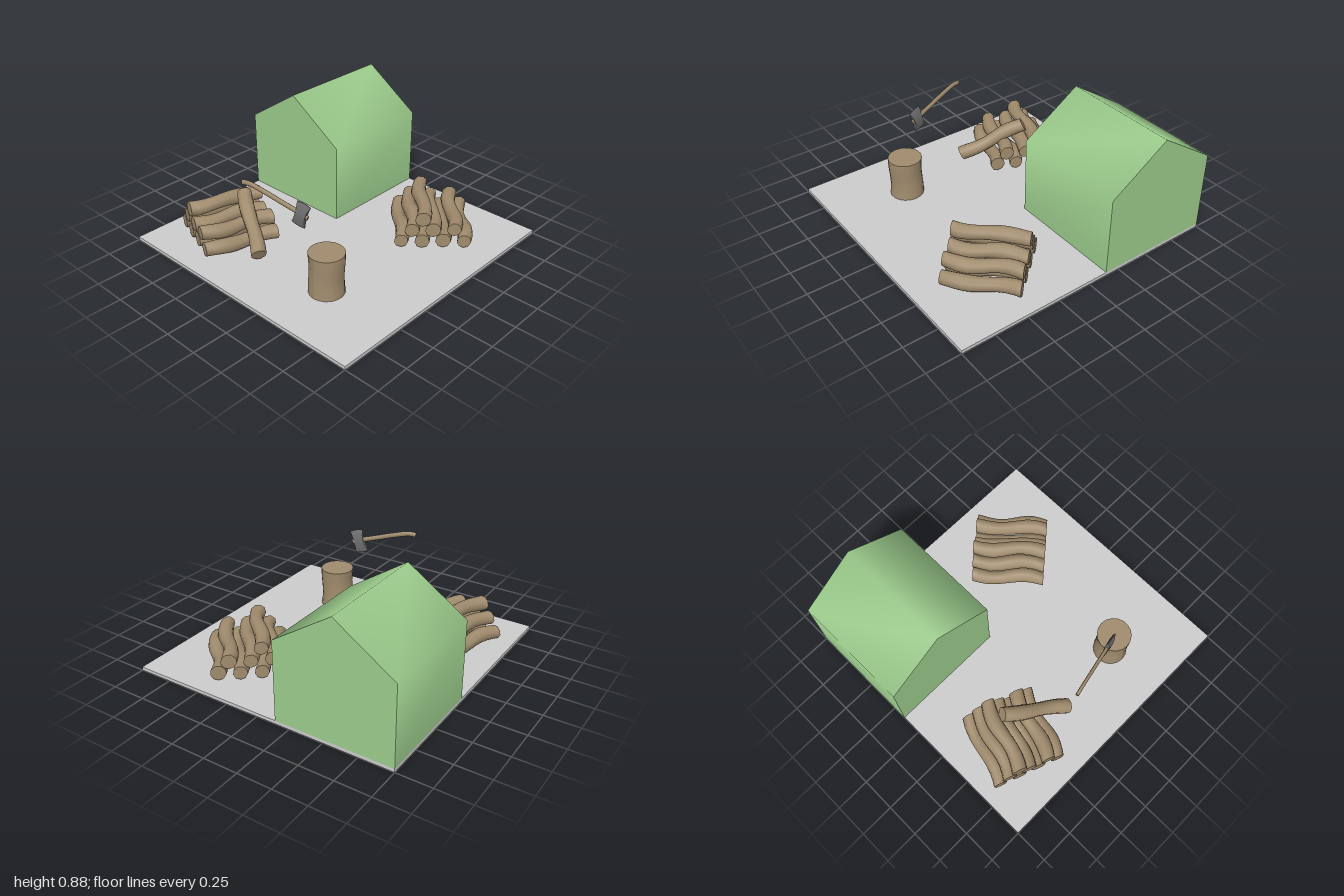
import * as THREE from 'three';

const mat = (name, color) => Object.assign(new THREE.MeshStandardMaterial({ color }), { name });
const M = {
  ground: mat('pale grey', 0xcccccc),
  house: mat('soft green', 0x9bcb8b),
  wood: mat('brown wood', 0xa08b6d),
  metal: mat('dark steel', 0x707072),
};

function add(parent, name, geometry, material, x = 0, y = 0, z = 0) {
  const mesh = new THREE.Mesh(geometry, material);
  mesh.name = name;
  mesh.position.set(x, y, z);
  parent.add(mesh);
  return mesh;
}

// Move every vertex of a geometry by a rule, then rebuild its normals
function reshape(geometry, rule) {
  const pos = geometry.attributes.position;
  const v = new THREE.Vector3();
  for (let i = 0; i < pos.count; i++) {
    rule(v.fromBufferAttribute(pos, i));
    pos.setXYZ(i, v.x, v.y, v.z);
  }
  geometry.computeVertexNormals();
  return geometry;
}

// Gently twisted log lying along z
const LOG = 0.53;
function logGeometry(seed, sway = 0.018) {
  const g = new THREE.CylinderGeometry(0.052, 0.052, LOG, 9, 10).rotateX(Math.PI / 2);
  return reshape(g, (v) => {
    const t = v.z / LOG;
    const swell = 1 + 0.06 * Math.sin(t * 9 + seed * 2);
    v.x = v.x * swell + sway * Math.sin(2 * Math.PI * t);
    v.y = v.y * swell + 0.007 * Math.sin(t * 8 + seed * 1.7);
  });
}

// Stack of four, three and one logs
function woodPile(name, x, z, turn) {
  const pile = new THREE.Group();
  pile.name = name;
  const step = 0.145;
  [4, 3, 1].forEach((count, row) => {
    for (let i = 0; i < count; i++) {
      const lx = (i - (3 - row) / 2) * step;
      add(pile, 'log', logGeometry(row * 4 + i), M.wood, lx, 0.087 + row * 0.088, 0);
    }
  });
  pile.position.set(x, 0, z);
  pile.rotation.y = turn;
  return pile;
}

// Gabled block with softly shaded walls and roof between flat gables
function house() {
  const group = new THREE.Group();
  group.name = 'house';
  const h = 0.4285;
  const profile = [[h, 0.025], [h, 0.6], [0, 0.885], [-h, 0.6], [-h, 0.025]];
  const points = [], index = [];
  profile.forEach(([x, y], i) => {
    points.push(x, y, h, x, y, -h);
    if (i < 4) {
      const a = i * 2;
      index.push(a, a + 1, a + 3, a, a + 3, a + 2);
    }
  });
  const shell = new THREE.BufferGeometry();
  shell.setAttribute('position', new THREE.Float32BufferAttribute(points, 3));
  shell.setIndex(index);
  shell.computeVertexNormals();
  add(group, 'wallsAndRoof', shell, M.house);

  const gable = new THREE.ShapeGeometry(new THREE.Shape(profile.map((p) => new THREE.Vector2(...p))));
  add(group, 'frontGable', gable, M.house, 0, 0, h);
  add(group, 'backGable', gable, M.house, 0, 0, -h).rotation.y = Math.PI;
  group.position.set(-0.5715, 0, -0.5715);
  return group;
}

// Floating axe with a double-edged head and a hooked handle
function axe() {
  const group = new THREE.Group();
  group.name = 'axe';
  const head = reshape(new THREE.BoxGeometry(2, 2, 2, 6, 10, 1), (v) => {
    const { x: u, y: w } = v;
    v.x = u * (0.037 + 0.014 * w * w);
    v.y = w * (0.083 + 0.008 * (1 - u * u));
    v.z *= 0.017 * (1 - 0.88 * w * w);
  });
  add(group, 'axeHead', head, M.metal).rotation.z = -0.28;

  const path = new THREE.CatmullRomCurve3(
    [[-0.44, 0.11], [-0.39, 0.114], [-0.26, 0.083], [-0.14, 0.047], [-0.02, 0.012], [0.05, -0.012]]
      .map(([x, y]) => new THREE.Vector3(x, y, 0)));
  const handle = new THREE.Group();
  handle.name = 'axeHandle';
  add(handle, 'handleShaft', new THREE.TubeGeometry(path, 24, 0.019, 8), M.wood);
  for (const [t, sign] of [[0, -1], [1, 1]]) {
    const cap = add(handle, 'handleEnd', new THREE.CircleGeometry(0.019, 8), M.wood);
    cap.position.copy(path.getPoint(t));
    cap.quaternion.setFromUnitVectors(new THREE.Vector3(0, 0, 1), path.getTangent(t).multiplyScalar(sign));
  }
  handle.scale.z = 0.62;
  group.add(handle);
  group.position.set(0.262, 0.56, 0.607);
  group.rotation.y = 0.23;
  return group;
}

export function createModel() {
  const model = new THREE.Group();
  model.name = 'woodcutterYard';

  add(model, 'groundSlab', new THREE.BoxGeometry(2, 0.025, 2), M.ground, 0, 0.0125, 0);
  model.add(house());
  model.add(woodPile('frontWoodPile', -0.562, 0.518, -0.355));
  model.add(woodPile('backWoodPile', 0.443, -0.512, 0.707));

  // Loose log leaning on the front pile
  const high = new THREE.Vector3(-0.535, 0.325, 0.395);
  const low = new THREE.Vector3(-0.135, 0.087, 0.63);
  const loose = add(model, 'leaningLog', logGeometry(2, 0.006), M.wood);
  loose.position.copy(high).add(low).multiplyScalar(0.5);
  loose.quaternion.setFromUnitVectors(new THREE.Vector3(0, 0, 1), low.sub(high).normalize());

  // Chopping block
  const stump = reshape(new THREE.CylinderGeometry(0.12, 0.12, 0.3, 18, 6), (v) => {
    const k = 1 - 0.03 * Math.cos(v.y * 16);
    v.x = v.x * k + 0.004 * Math.sin(v.y * 20);
    v.z *= k;
  });
  add(model, 'choppingBlock', stump, M.wood, 0.42, 0.173, 0.545);

  model.add(axe());
  return model;
}
